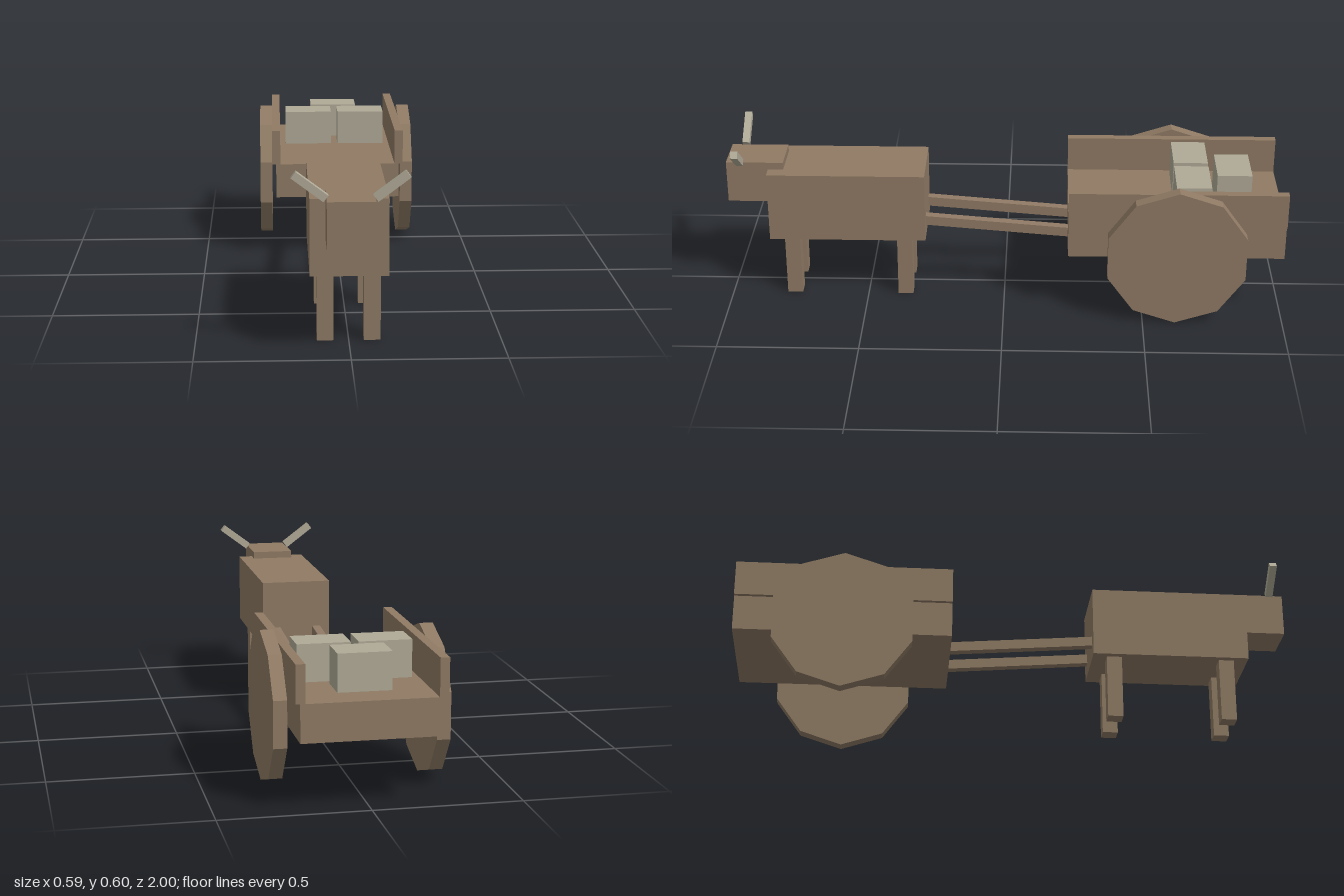
import * as THREE from 'three';

export function createModel() {
  const model = new THREE.Group();
  const wood = new THREE.MeshStandardMaterial({ color: 0x8f7a64 });
  wood.name = 'brown';
  const pale = new THREE.MeshStandardMaterial({ color: 0xb0aa97 });
  pale.name = 'pale stone';
  wood.flatShading = pale.flatShading = true;

  function box(name, material, size, position, parent = model) {
    const mesh = new THREE.Mesh(new THREE.BoxGeometry(...size), material);
    mesh.name = name;
    mesh.position.set(...position);
    parent.add(mesh);
    return mesh;
  }

  // Draught animal
  const ox = new THREE.Group();
  ox.name = 'ox';
  model.add(ox);
  box('body', wood, [0.256, 0.256, 0.565], [0, 0.36, 0.5675], ox);
  box('head', wood, [0.154, 0.154, 0.205], [0, 0.437, 0.8975], ox);

  // Cart
  const cart = new THREE.Group();
  cart.name = 'cart';
  model.add(cart);
  box('cartBed', wood, [0.464, 0.128, 0.77], [0, 0.296, -0.615], cart);

  // Ten-sided wheel with a vertex at the top
  const wheelGeometry = new THREE.CylinderGeometry(0.257, 0.257, 0.046, 10);
  wheelGeometry.rotateZ(Math.PI / 2);
  wheelGeometry.rotateX(Math.PI / 10);

  // Mirrored parts
  for (const [side, s] of [['left', 1], ['right', -1]]) {
    for (const [end, z] of [['Front', 0.772], ['Back', 0.363]]) {
      box(side + end + 'Leg', wood, [0.055, 0.232, 0.055], [s * 0.077, 0.116, z], ox);
    }
    const horn = box(side + 'Horn', pale, [0.128, 0.0257, 0.0257], [s * 0.1295, 0.5535, 0.95], ox);
    horn.rotation.z = s * 0.645;

    const shaft = box(side + 'Shaft', wood, [0.031, 0.035, 0.53], [s * 0.077, 0.276, 0.0275], cart);
    shaft.rotation.x = -0.08;
    box(side + 'SideBoard', wood, [0.031, 0.128, 0.77], [s * 0.2315, 0.424, -0.615], cart);

    const wheel = new THREE.Mesh(wheelGeometry, wood);
    wheel.name = side + 'Wheel';
    wheel.position.set(s * 0.27, 0.257, -0.615);
    // keep a vertex at the very top whichever way the cylinder starts
    wheel.rotation.x = topAlign(wheelGeometry);
    cart.add(wheel);
  }

  // Cargo
  [[-0.103, -0.672], [0.103, -0.672], [0, -0.823]].forEach(([x, z], i) =>
    box('cargoBlock' + (i + 1), pale, [0.18, 0.128, 0.124], [x, 0.424, z], cart));

  return model;
}

// Angle that turns the highest rim vertex to the top
function topAlign(geometry) {
  const p = geometry.attributes.position;
  let best = 0;
  for (let i = 1; i < p.count; i++) if (p.getY(i) > p.getY(best)) best = i;
  return -Math.atan2(p.getZ(best), p.getY(best));
}
